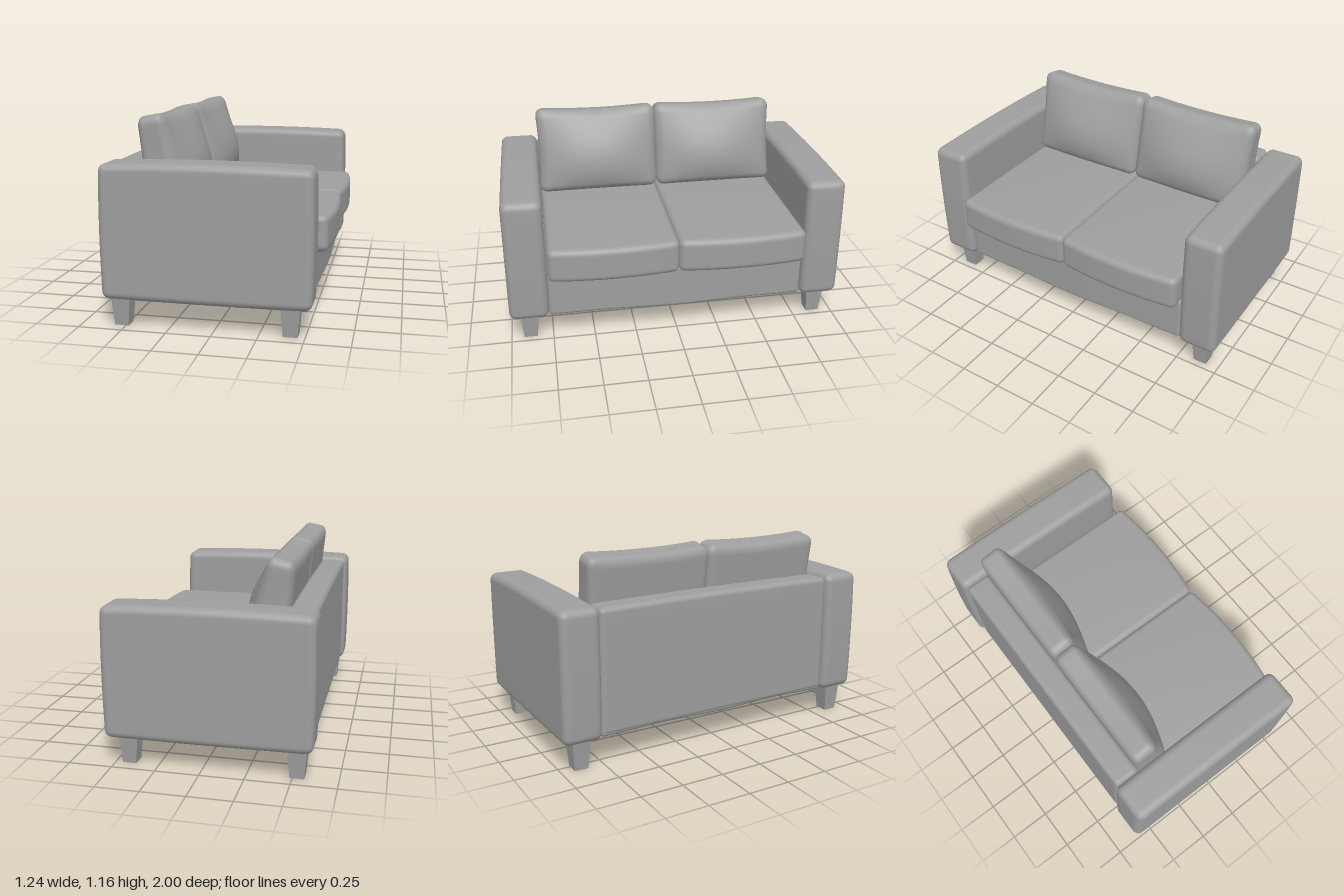
import * as THREE from 'three';
import { mergeVertices } from 'three/addons/utils/BufferGeometryUtils.js';

const material = new THREE.MeshStandardMaterial({ color: 0x9e9e9e });

// Upholstered block between two corners, edges rounded by r.
// puff(p, n) may shift each point p; n holds its position as -1..1 per axis.
function softBlock(name, min, max, r, puff) {
  const lo = new THREE.Vector3(...min), hi = new THREE.Vector3(...max);
  const half = hi.clone().sub(lo).multiplyScalar(0.5);
  const mid = hi.clone().add(lo).multiplyScalar(0.5);
  const inner = half.clone().subScalar(r), innerNeg = inner.clone().negate();
  let geo = new THREE.BoxGeometry(2, 2, 2, 20, 20, 20);
  geo.deleteAttribute('uv');
  geo.deleteAttribute('normal');
  geo = mergeVertices(geo);
  const pos = geo.attributes.position;
  const p = new THREE.Vector3(), core = new THREE.Vector3(), n = new THREE.Vector3();

  // a few rows share each rounded edge, the rest spread over the flat face
  const spread = (u, h) => {
    const a = Math.abs(u), k = 0.7;
    const v = a < k ? (a / k) * (h - r) : h - r + r * Math.tan(((a - k) / (1 - k)) * Math.PI / 4);
    return Math.sign(u) * v;
  };
  for (let i = 0; i < pos.count; i++) {
    p.fromBufferAttribute(pos, i);
    p.set(spread(p.x, half.x), spread(p.y, half.y), spread(p.z, half.z));
    core.copy(p).clamp(innerNeg, inner);
    p.sub(core).setLength(r).add(core);
    n.copy(p).divide(half);
    p.add(mid);
    puff(p, n);
    pos.setXYZ(i, p.x, p.y, p.z);
  }
  geo.computeVertexNormals();
  const mesh = new THREE.Mesh(geo, material);
  mesh.name = name;
  return mesh;
}

const crown = (u) => 1 - u * u;

// Square leg tapering towards the floor
function leg(x, z) {
  const geo = new THREE.CylinderGeometry(0.055 * Math.SQRT2, 0.04 * Math.SQRT2, 0.18, 4, 1);
  geo.rotateY(Math.PI / 4);
  const flat = geo.toNonIndexed();
  flat.computeVertexNormals();
  const mesh = new THREE.Mesh(flat, material);
  mesh.position.set(x, 0.09, z);
  mesh.name = 'leg';
  return mesh;
}

export function createModel() {
  const sofa = new THREE.Group();
  sofa.name = 'sofa';

  // frame: seat base with a gently wavy lower edge, and back rest
  sofa.add(softBlock('seatBase', [-0.595, 0.175, -0.768], [0.515, 0.44, 0.768], 0.02, (p, n) => {
    if (n.x > 0) p.x += 0.02 * n.x * crown(n.z);
    if (n.y < 0) p.y += 0.004 * n.y * Math.cos(2 * Math.PI * n.z);
  }));
  sofa.add(softBlock('backRest', [-0.6, 0.18, -0.768], [-0.44, 0.9, 0.768], 0.03, (p, n) => {
    if (n.y > 0) p.y += 0.006 * n.y * crown(n.z);
  }));

  for (const side of [-1, 1]) {
    const z = (a, b) => (side > 0 ? [a, b] : [-b, -a]);

    // arm, slightly crowned along its top and ends
    const [a0, a1] = z(0.768, 1);
    sofa.add(softBlock('arm', [-0.615, 0.166, a0], [0.541, 0.912, a1], 0.042, (p, n) => {
      p.x += 0.007 * n.x * crown(n.y);
      p.y += (n.y > 0 ? 0.012 : 0.004) * n.y * crown(n.x);
    }));

    // seat cushion with a bowed front edge
    const [s0, s1] = z(-0.002, 0.762);
    sofa.add(softBlock('seatCushion', [-0.45, 0.43, s0], [0.59, 0.632, s1], 0.035, (p, n) => {
      if (n.x > 0) p.x += 0.031 * n.x * crown(n.z);
      if (n.y > 0) p.y += 0.012 * n.y * crown(n.z) * crown(n.x);
    }));

    // back cushion: leaning, narrow at the top, plump in front, pointed corners
    const [c0, c1] = z(-0.003, 0.77);
    sofa.add(softBlock('backCushion', [-0.12, 0.636, c0], [0.12, 1.148, c1], 0.055, (p, n) => {
      const t = (n.y + 1) / 2;
      const front = -0.21 - 0.115 * t + 0.093 * crown(n.z) * Math.sin(Math.PI * Math.pow(t, 0.8));
      const back = -0.425 - 0.05 * t;
      p.x = THREE.MathUtils.lerp(back, front, (n.x + 1) / 2);
      p.y += 0.015 * t * n.x + (n.y > 0 ? 0.016 : 0.006) * n.y * (n.z * n.z - 0.5);
      // the outer side is drawn in between its corners, the inner sides meet
      p.z -= (n.z * side > 0 ? 0.012 : 0.002) * n.z * crown(n.y);
    }));

    for (const x of [-0.525, 0.42]) sofa.add(leg(x, side * 0.885));
  }
  return sofa;
}
